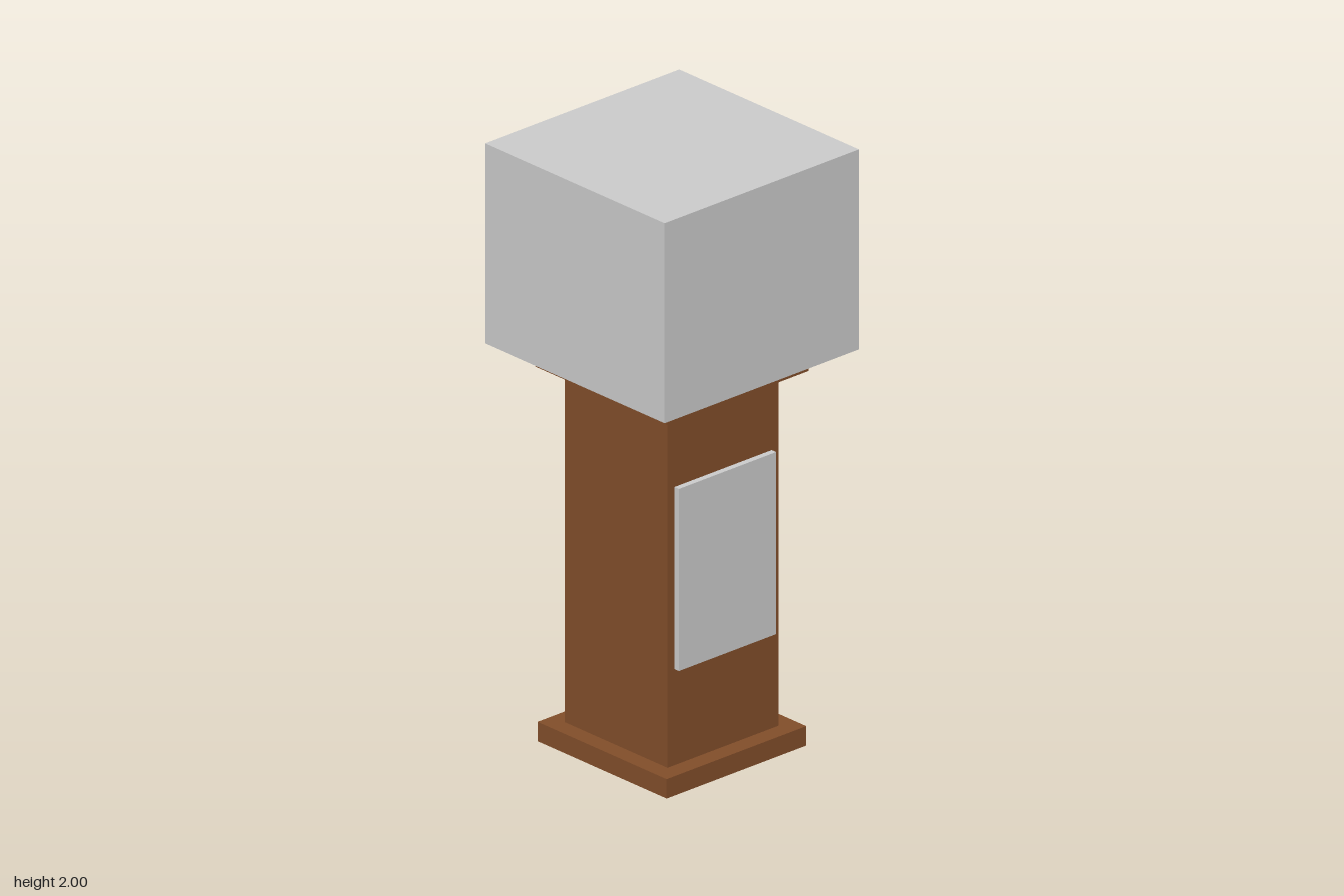
import * as THREE from 'three';

export function createModel() {
  const model = new THREE.Group();
  const wood = new THREE.MeshStandardMaterial({ color: 0x824e2a });
  const grey = new THREE.MeshStandardMaterial({ color: 0xcccccc });

  // Box centred on z = 0, spanning x0..x1 and y0..y1
  function addBox(name, material, x0, x1, y0, y1, depth) {
    const mesh = new THREE.Mesh(new THREE.BoxGeometry(x1 - x0, y1 - y0, depth), material);
    mesh.position.set((x0 + x1) / 2, (y0 + y1) / 2, 0);
    mesh.name = name;
    model.add(mesh);
  }

  // Square wooden pedestal
  addBox('base', wood, -0.29, 0.29, 0, 0.065, 0.58);
  addBox('shaft', wood, -0.232, 0.23, 0.065, 1.255, 0.462);
  addBox('cap', wood, -0.295, 0.295, 1.255, 1.33, 0.59);

  // Display case on top
  addBox('displayCase', grey, -0.404, 0.404, 1.33, 2, 0.808);

  // Plaque on the left side
  addBox('plaque', grey, 0.23, 0.25, 0.387, 0.997, 0.404);

  return model;
}
